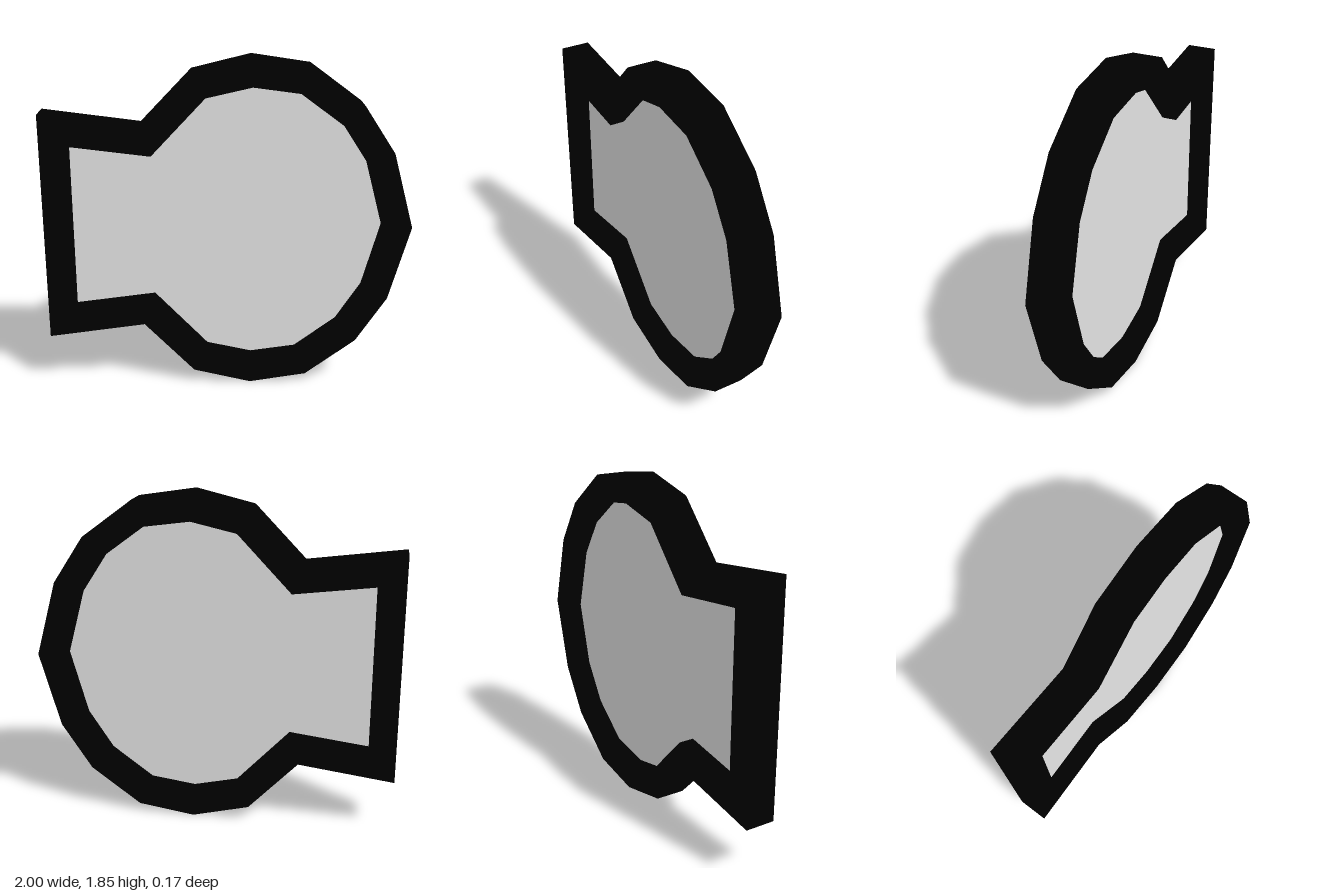
import * as THREE from 'three';

const MID_Y = 0.925;
const DEPTH = 0.166;

// Upper half outlines as [x, height above the middle]; the last point lies on the axis
const OUTER = [[-1, 0.631], [-0.47, 0.562], [-0.195, 0.848], [0.122, 0.925], [0.437, 0.877], [0.716, 0.671], [0.885, 0.415], [1, 0]];
const INNER = [[-0.851, 0.46], [-0.412, 0.405], [-0.12, 0.714], [0.127, 0.77], [0.378, 0.736], [0.608, 0.566], [0.746, 0.355], [0.843, 0]];

// Mirror a half outline about the horizontal axis into a closed clockwise loop
function mirrored(half) {
  const lower = half.slice(0, -1).reverse().map(([x, y]) => [x, -y]);
  return [...half, ...lower].map(([x, y]) => new THREE.Vector2(x, y + MID_Y));
}

export function createModel() {
  const group = new THREE.Group();
  group.name = 'framedPanel';

  const black = new THREE.MeshStandardMaterial({ color: 0x000000 });
  black.name = 'black';
  const grey = new THREE.MeshStandardMaterial({ color: 0xe5e5e5, side: THREE.DoubleSide });
  grey.name = 'lightGrey';

  // Faceted rim; the hole runs the other way round so its walls face inward
  const rim = new THREE.Shape(mirrored(OUTER));
  rim.holes.push(new THREE.Path(mirrored(INNER).reverse()));
  const rimGeometry = new THREE.ExtrudeGeometry(rim, { depth: DEPTH, bevelEnabled: false });
  rimGeometry.translate(0, 0, -DEPTH / 2);
  const frame = new THREE.Mesh(rimGeometry, black);
  frame.name = 'frame';
  group.add(frame);

  // Thin sheet recessed halfway through the rim, seen from both sides
  const panel = new THREE.Mesh(new THREE.ShapeGeometry(new THREE.Shape(mirrored(INNER))), grey);
  panel.name = 'panel';
  group.add(panel);

  return group;
}
